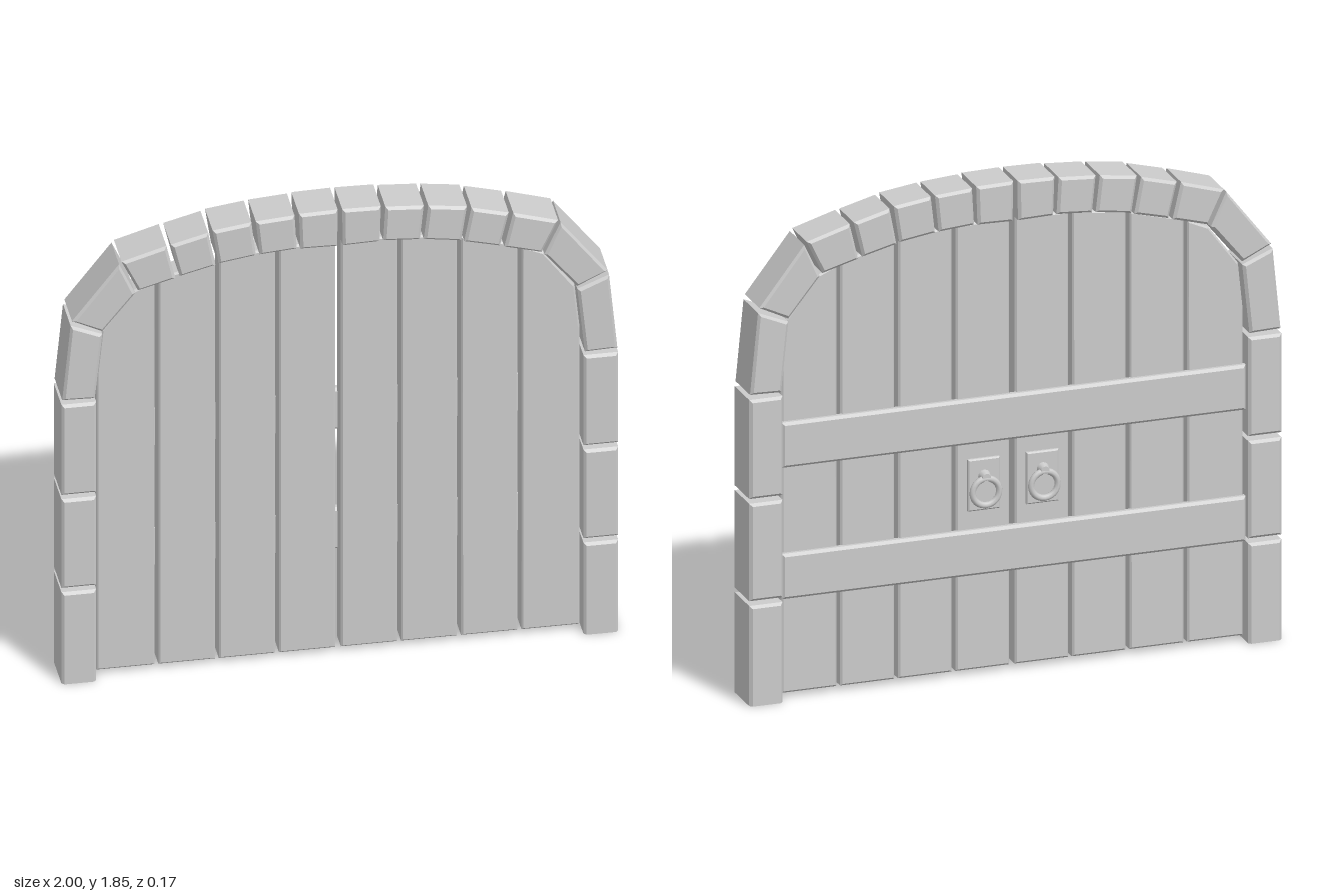
import * as THREE from 'three';

const material = new THREE.MeshStandardMaterial({ color: 0xcccccc, side: THREE.DoubleSide });

// Bevelled slab from a 2D outline, spanning z0..z1
function slab(name, points, z0, z1, bevel) {
  const shape = new THREE.Shape(points.map(([x, y]) => new THREE.Vector2(x, y)));
  const geometry = new THREE.ExtrudeGeometry(shape, {
    depth: z1 - z0 - 2 * bevel, bevelEnabled: true, bevelSegments: 1,
    bevelSize: bevel, bevelThickness: bevel, bevelOffset: -bevel,
  });
  geometry.translate(0, 0, z0 + bevel);
  const mesh = new THREE.Mesh(geometry, material);
  mesh.name = name;
  return mesh;
}

const rect = (x0, y0, x1, y1) => [[x0, y0], [x1, y0], [x1, y1], [x0, y1]];

// Cut a stone off at the ground and leave its underside open
function openBottom(mesh) {
  const source = mesh.geometry.toNonIndexed ? mesh.geometry : null;
  const p = source.attributes.position;
  const kept = [];
  for (let i = 0; i < p.count; i += 3) {
    const corners = [0, 1, 2].map((k) => [p.getX(i + k), Math.max(0, p.getY(i + k)), p.getZ(i + k)]);
    if (corners.some((c) => c[1] > 0.005)) kept.push(...corners.flat());
  }
  mesh.geometry = new THREE.BufferGeometry();
  mesh.geometry.setAttribute('position', new THREE.Float32BufferAttribute(kept, 3));
  mesh.geometry.computeVertexNormals();
}

// Stone outlines of the +x half, from the ground up to the crown
const stones = [
  rect(0.875, -0.012, 1, 0.377),
  rect(0.875, 0.395, 1, 0.762),
  rect(0.875, 0.78, 1, 1.153),
  [[0.88, 1.168], [0.997, 1.172], [0.967, 1.477], [0.853, 1.43]],
  [[0.853, 1.442], [0.962, 1.495], [0.793, 1.712], [0.735, 1.587]],
  [[0.725, 1.597], [0.784, 1.722], [0.623, 1.77], [0.591, 1.634]],
  [[0.575, 1.64], [0.607, 1.773], [0.473, 1.808], [0.447, 1.672]],
  [[0.436, 1.677], [0.457, 1.815], [0.318, 1.834], [0.302, 1.697]],
  [[0.288, 1.698], [0.302, 1.836], [0.163, 1.846], [0.155, 1.708]],
  [[0.142, 1.706], [0.147, 1.85], [0.008, 1.853], [0.01, 1.703]],
];

// Plank outlines of the +x half; tops follow the arch
const planks = [
  [[0.01, 0.02], [0.212, 0.02], [0.212, 1.7], [0.01, 1.705]],
  [[0.226, 0.02], [0.428, 0.02], [0.428, 1.675], [0.226, 1.7]],
  [[0.442, 0.02], [0.645, 0.02], [0.645, 1.618], [0.442, 1.67]],
  [[0.659, 0.02], [0.868, 0.02], [0.868, 1.25], [0.85, 1.425], [0.738, 1.575], [0.659, 1.608]],
];

// Pull handle on the back: plate, boss and hanging ring
function pullHandle(x) {
  const handle = new THREE.Group();
  handle.name = 'pullHandle';
  handle.add(slab('handlePlate', rect(x - 0.06, 0.62, x + 0.06, 0.815), -0.058, -0.04, 0.005));

  const boss = new THREE.Mesh(new THREE.CylinderGeometry(0.016, 0.024, 0.03, 12), material);
  boss.name = 'handleBoss';
  boss.rotation.x = -Math.PI / 2;
  boss.position.set(x, 0.75, -0.07);
  handle.add(boss);

  const ring = new THREE.Mesh(new THREE.TorusGeometry(0.05, 0.012, 8, 24), material);
  ring.name = 'handleRing';
  ring.position.set(x, 0.695, -0.075);
  handle.add(ring);
  return handle;
}

export function createModel() {
  const gate = new THREE.Group();
  gate.name = 'archedGate';

  for (const side of [1, -1]) {
    const mirror = (outline) => outline.map(([x, y]) => [side * x, y]);

    // Stone surround
    stones.forEach((outline, i) => {
      const stone = slab(i < 3 ? 'pillarStone' : 'archStone', mirror(outline), -0.085, 0.085, 0.01);
      if (i === 0) openBottom(stone);
      gate.add(stone);
    });

    // Door planks
    for (const outline of planks) gate.add(slab('plank', mirror(outline), -0.045, 0.045, 0.007));

    gate.add(pullHandle(side * 0.11));
  }

  // Cross beams on the back
  for (const [y0, y1] of [[0.38, 0.55], [0.875, 1.045]]) {
    gate.add(slab('crossBeam', rect(-0.872, y0, 0.872, y1), -0.067, -0.03, 0.01));
  }
  return gate;
}
